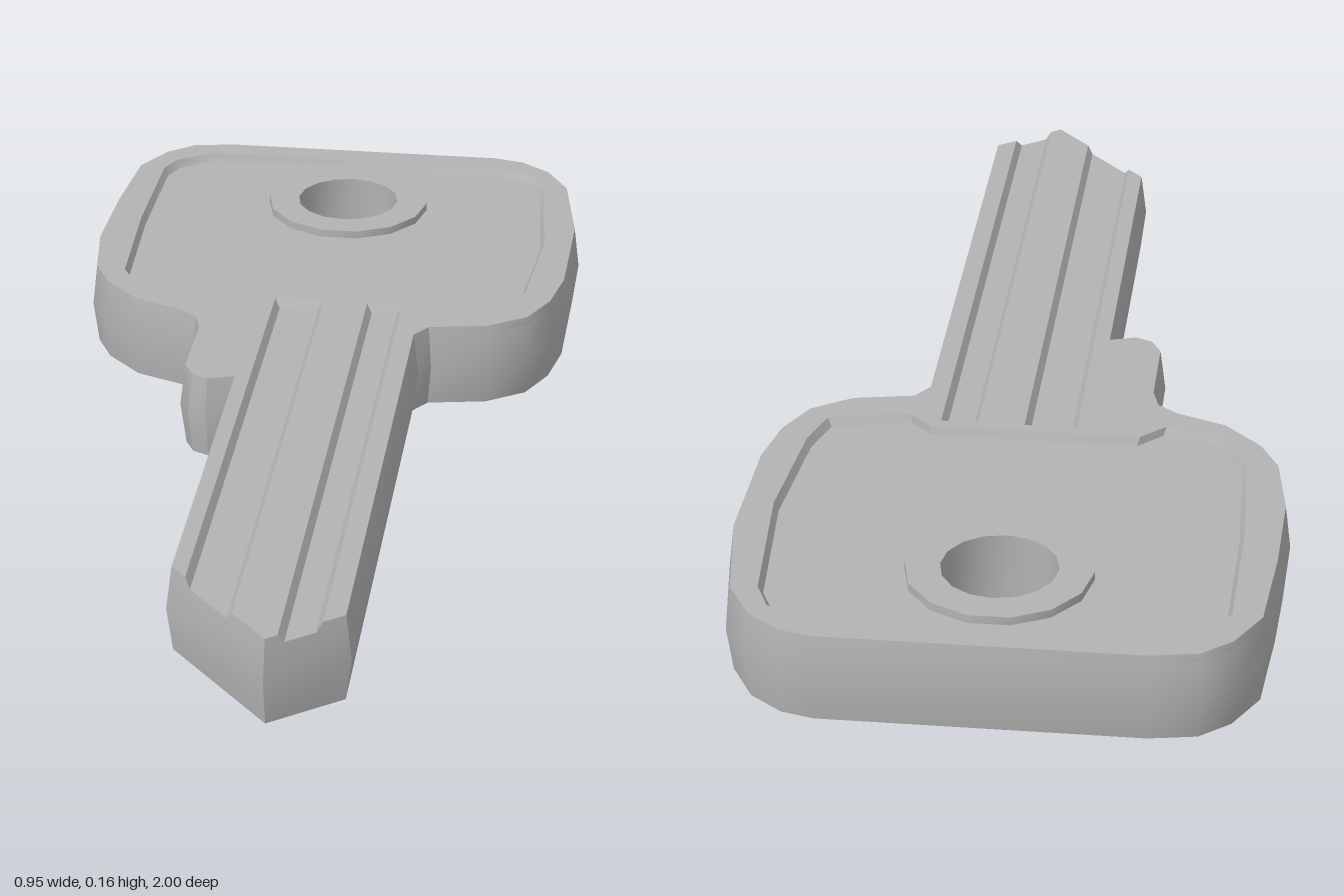
import * as THREE from 'three';
import { mergeGeometries, toCreasedNormals } from 'three/addons/utils/BufferGeometryUtils.js';

const HEIGHT = 0.16, DEPTH = 0.015, FLOOR = HEIGHT - DEPTH;
const HOLE_Z = -0.745, GROOVE_START = -0.265;

// Key outline as [x, z], counter-clockwise seen from above
const outline = [
  [-0.27, -1], [-0.355, -0.985], [-0.41, -0.94], [-0.455, -0.86], [-0.47, -0.68],
  [-0.475, -0.5], [-0.455, -0.36], [-0.42, -0.29], [-0.35, -0.22], [-0.26, -0.185],
  [-0.228, -0.16], [-0.217, -0.12], [-0.217, 0.04], [-0.196, 0.08], [-0.16, 0.097],
  [-0.12, 0.085], [-0.12, 0.78], [0.075, 1], [0.207, 0.9], [0.207, -0.14],
  [0.228, -0.17], [0.335, -0.19], [0.41, -0.24], [0.45, -0.32], [0.47, -0.42],
  [0.475, -0.66], [0.445, -0.86], [0.4, -0.94], [0.34, -0.985], [0.28, -1],
];
const TIP = 17;

// Sunken panel of the head, clockwise so that its walls face inwards
const recess = [
  [-0.4, -0.6], [-0.395, -0.85], [-0.375, -0.895], [-0.31, -0.94], [0.3, -0.94],
  [0.365, -0.905], [0.39, -0.85], [0.41, -0.58], [0.39, -0.355], [0.365, -0.275],
  [0.22, -0.245], [0.18, -0.286], [-0.196, -0.286], [-0.24, -0.245], [-0.34, -0.265],
  [-0.39, -0.355],
];
const recessFloor = recess.map(([x, z]) => [x * 0.98, (z + 0.6) * 0.98 - 0.6]);

const circle = (r, n) => Array.from({ length: n }, (_, i) => {
  const a = (i / n) * Math.PI * 2;
  return [r * Math.cos(a), HOLE_Z + r * Math.sin(a)];
});
const hole = circle(0.1, 16), ring = circle(0.16, 14);

// Mitred inset of a counter-clockwise loop
function inset(loop, d) {
  const n = loop.length;
  const normal = (a, b) => {
    const l = Math.hypot(b[0] - a[0], b[1] - a[1]);
    return [(b[1] - a[1]) / l, -(b[0] - a[0]) / l];
  };
  return loop.map((p, i) => {
    const u = normal(loop[(i + n - 1) % n], p), v = normal(p, loop[(i + 1) % n]);
    const k = d / (1 + u[0] * v[0] + u[1] * v[1]);
    return [p[0] + (u[0] + v[0]) * k, p[1] + (u[1] + v[1]) * k];
  });
}

// Cut the two blade grooves into the tip edges of an outline
function notched(loop, narrow) {
  const notch = (a, b, x0, x1) => {
    const edge = (x) => [x, a[1] + ((b[1] - a[1]) * (x - a[0])) / (b[0] - a[0])];
    const l = x0 + narrow, r = x1 - narrow, start = GROOVE_START + narrow;
    return [edge(l), [l, start], [r, start], edge(r)];
  };
  const [left, tip, right] = loop.slice(TIP - 1, TIP + 2);
  return [
    ...loop.slice(0, TIP), ...notch(left, tip, -0.082, 0.012),
    tip, ...notch(tip, right, 0.095, 0.162), ...loop.slice(TIP + 1),
  ];
}

// Band between a lower and an upper loop with the same number of points
function wall(low, y0, high, y1) {
  const pos = [];
  low.forEach((a, i) => {
    const j = (i + 1) % low.length, b = low[j], c = high[j], d = high[i];
    pos.push(a[0], y0, a[1], b[0], y0, b[1], c[0], y1, c[1]);
    pos.push(a[0], y0, a[1], c[0], y1, c[1], d[0], y1, d[1]);
  });
  const g = new THREE.BufferGeometry();
  g.setAttribute('position', new THREE.Float32BufferAttribute(pos, 3));
  return g;
}

// Flat face with holes, facing up or down
function cap(outer, holes, y, up = true) {
  const points = (loop) => loop.map(([x, z]) => new THREE.Vector2(x, -z));
  const shape = new THREE.Shape(points(outer));
  shape.holes = holes.map((h) => new THREE.Path(points(h)));
  const g = new THREE.ShapeGeometry(shape);
  if (!up) g.setIndex(Array.from(g.index.array).reverse());
  g.rotateX(-Math.PI / 2).translate(0, y, 0);
  const flat = g.toNonIndexed();
  flat.deleteAttribute('uv');
  flat.deleteAttribute('normal');
  return flat;
}

export function createModel() {
  const group = new THREE.Group();
  const metal = new THREE.MeshStandardMaterial({ color: 0xb3b3b3 });
  metal.name = 'grey metal';
  const add = (name, ...parts) => {
    const mesh = new THREE.Mesh(toCreasedNormals(mergeGeometries(parts), 0.6), metal);
    mesh.name = name;
    group.add(mesh);
  };
  const flip = (loop) => [...loop].reverse();

  const rim = inset(outline, 0.01), upper = inset(outline, 0.008);
  const topLow = notched(upper, 0.01), topHigh = notched(rim, 0);

  // Bulging outer edge
  add('edge', wall(rim, 0, outline, HEIGHT / 2), wall(outline, HEIGHT / 2, upper, FLOOR));
  // Raised top layer with open blade grooves
  add('topFace', wall(topLow, FLOOR, topHigh, HEIGHT), cap(topHigh, [recess], HEIGHT));
  add('grooveAndPanelFloor', cap(upper, [hole], FLOOR));
  add('bottomFace', cap(rim, [recess], 0, false));
  add('bottomPanelFloor', cap(recessFloor, [hole], DEPTH, false));
  // Sloped walls of both sunken panels
  add('topPanelWall', wall(recessFloor, FLOOR, recess, HEIGHT));
  add('bottomPanelWall', wall(recess, 0, recessFloor, DEPTH));
  // Raised collars and the hole through them
  add('topCollar', wall(flip(ring), FLOOR, flip(ring), HEIGHT), cap(ring, [hole], HEIGHT));
  add('bottomCollar', wall(flip(ring), 0, flip(ring), DEPTH), cap(ring, [hole], 0, false));
  add('keyringHole', wall(hole, 0, hole, HEIGHT));
  return group;
}
